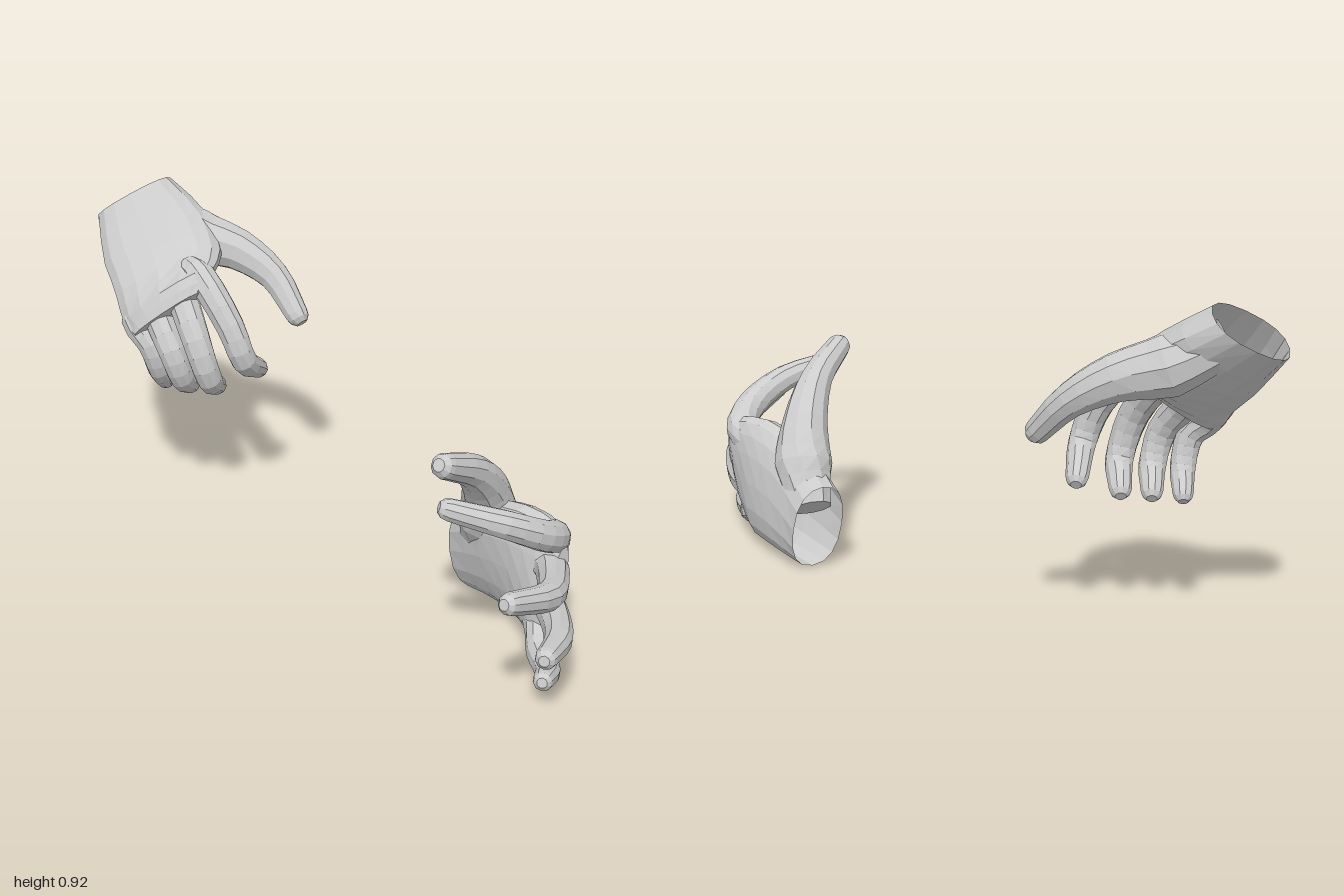
import * as THREE from 'three';

const V = (p) => new THREE.Vector3(...p);
const section = (c, a, b) => ({ c: V(c), a: V(a), b: V(b) });
const material = new THREE.MeshStandardMaterial({ color: 0xcccccc, flatShading: true, side: THREE.DoubleSide });

// Skin over a row of rings; each ring is { c: centre, a, b: half axes }.
// A power below 1 makes the rings squarer.
function loft(name, rings, sides, power, openStart) {
  const pos = [], index = [], n = rings.length;
  const along = rings[n - 1].c.clone().sub(rings[0].c);
  const mid = rings[n >> 1];
  const sign = Math.sign(mid.a.clone().cross(mid.b).dot(along));
  const bend = (v) => Math.sign(v) * Math.abs(v) ** power;
  for (const { c, a, b } of rings) {
    for (let j = 0; j < sides; j++) {
      const t = (sign * j * 2 * Math.PI) / sides;
      const p = c.clone().addScaledVector(a, bend(Math.cos(t))).addScaledVector(b, bend(Math.sin(t)));
      pos.push(p.x, p.y, p.z);
    }
  }
  for (let i = 0; i < n - 1; i++) {
    for (let j = 0; j < sides; j++) {
      const k = (j + 1) % sides, p = i * sides, q = p + sides;
      index.push(p + j, p + k, q + k, p + j, q + k, q + j);
    }
  }
  const last = (n - 1) * sides;
  for (let j = 1; j < sides - 1; j++) {
    index.push(last, last + j, last + j + 1);
    if (!openStart) index.push(0, j + 1, j);
  }
  const indexed = new THREE.BufferGeometry();
  indexed.setAttribute('position', new THREE.Float32BufferAttribute(pos, 3));
  indexed.setIndex(index);
  const geometry = indexed.toNonIndexed();
  geometry.computeVertexNormals();
  const mesh = new THREE.Mesh(geometry, material);
  mesh.name = name;
  return mesh;
}

// Palm: smooth blend through a few sections, open at the wrist
function palmMesh(sections) {
  const [c, a, b] = ['c', 'a', 'b'].map((k) => new THREE.CatmullRomCurve3(sections.map((s) => s[k])));
  const steps = (sections.length - 1) * 2, rings = [];
  for (let i = 0; i <= steps; i++) {
    const t = i / steps;
    rings.push({ c: c.getPoint(t), a: a.getPoint(t), b: b.getPoint(t) });
  }
  return loft('palm', rings, 16, 0.85, true);
}

// Finger: tapered tube through its joints, with a rounded tip
function finger(name, joints, radii, across) {
  const curve = new THREE.CatmullRomCurve3(joints);
  const steps = (joints.length - 1) * 3, rings = [];
  const ring = (c, t, r) => {
    const a = across.clone().addScaledVector(t, -across.dot(t)).normalize();
    const b = t.clone().cross(a);
    rings.push({ c, a: a.multiplyScalar(r), b: b.multiplyScalar(r) });
  };
  for (let i = 0; i <= steps; i++) {
    const u = i / steps, k = Math.min(Math.floor(i / 3), joints.length - 2);
    ring(curve.getPoint(u), curve.getTangent(u), THREE.MathUtils.lerp(radii[k], radii[k + 1], i / 3 - k));
  }
  const tip = curve.getPoint(1), t = curve.getTangent(1), r = radii[radii.length - 1];
  for (const [d, s] of [[0.5, 0.88], [0.92, 0.5]]) ring(tip.clone().addScaledVector(t, d * r), t, s * r);
  return loft(name, rings, 10, 0.95, false);
}

// Place of each knuckle across the palm, and finger thickness
const fingerTypes = [
  { name: 'indexFinger', place: 0.76, scale: 1 },
  { name: 'middleFinger', place: 0.27, scale: 1 },
  { name: 'ringFinger', place: -0.28, scale: 0.97 },
  { name: 'littleFinger', place: -0.76, scale: 0.9 },
];
const fingerRadii = [0.036, 0.046, 0.042, 0.038, 0.03];
const thumbRadii = [0.06, 0.083, 0.063, 0.046, 0.035];

function makeHand(name, palm, thumb, fingers) {
  const hand = new THREE.Group();
  hand.name = name;
  const [middle, knuckles] = palm.slice(-2);

  // Palm, thinning to a web between the fingers
  const fingerWeb = {
    c: knuckles.c.clone().addScaledVector(knuckles.c.clone().sub(middle.c).normalize(), 0.06),
    a: knuckles.a.clone().multiplyScalar(0.76),
    b: knuckles.b.clone().multiplyScalar(0.45),
  };
  hand.add(palmMesh([...palm, fingerWeb]));

  // Thumb, swelling into its ball inside the palm
  hand.add(finger('thumb', thumb.map(V), thumbRadii, knuckles.a));

  // Fingers, each starting a little inside the palm
  fingerTypes.forEach((type, i) => {
    const knuckle = knuckles.c.clone().addScaledVector(knuckles.a, type.place);
    const root = knuckle.clone().lerp(palm[1].c, 0.3);
    const radii = fingerRadii.map((r) => r * type.scale);
    hand.add(finger(type.name, [root, knuckle, ...fingers[i].map(V)], radii, knuckles.a));
  });
  return hand;
}

function rightHand() {
  const palm = [
    section([-0.91, 0.86, -0.205], [0.07, 0.055, -0.085], [0.04, 0.035, 0.06]),
    section([-0.785, 0.755, -0.17], [0.095, 0.075, -0.12], [0.01, 0.045, 0.065]),
    section([-0.7, 0.685, -0.125], [0.105, 0.075, -0.11], [0.01, 0.04, 0.06]),
    section([-0.645, 0.64, -0.06], [0.11, 0.095, -0.07], [0.01, 0.035, 0.05]),
  ];
  const thumb = [
    [-0.85, 0.83, -0.22], [-0.72, 0.765, -0.27], [-0.6, 0.73, -0.325], [-0.49, 0.665, -0.355], [-0.395, 0.57, -0.345],
  ];
  return makeHand('rightHand', palm, thumb, [
    [[-0.45, 0.59, -0.11], [-0.415, 0.485, -0.13], [-0.45, 0.42, -0.23]],
    [[-0.52, 0.55, -0.04], [-0.49, 0.43, -0.06], [-0.53, 0.375, -0.135]],
    [[-0.59, 0.51, -0.01], [-0.575, 0.42, -0.035], [-0.605, 0.37, -0.1]],
    [[-0.67, 0.51, -0.005], [-0.66, 0.425, -0.03], [-0.685, 0.37, -0.08]],
  ]);
}

function leftHand() {
  const palm = [
    section([0.395, 0.125, -0.17], [-0.02, 0.12, 0], [0.04, 0, -0.065]),
    section([0.53, 0.18, -0.105], [-0.01, 0.16, 0.02], [0.03, 0, -0.065]),
    section([0.65, 0.2, -0.055], [-0.01, 0.175, 0.005], [0.025, 0, -0.06]),
    section([0.74, 0.2, -0.01], [0.01, 0.165, -0.02], [0.02, 0, -0.045]),
  ];
  const thumb = [
    [0.43, 0.17, -0.15], [0.485, 0.28, -0.1], [0.515, 0.39, -0.04], [0.54, 0.485, 0.06], [0.55, 0.55, 0.195],
  ];
  return makeHand('leftHand', palm, thumb, [
    [[0.775, 0.375, 0.07], [0.73, 0.435, 0.18], [0.625, 0.48, 0.275]],
    [[0.82, 0.265, 0.08], [0.89, 0.295, 0.21], [0.885, 0.34, 0.37]],
    [[0.83, 0.155, 0.08], [0.92, 0.175, 0.2], [0.965, 0.195, 0.32]],
    [[0.79, 0.042, 0.08], [0.86, 0.042, 0.15], [0.9, 0.065, 0.23]],
  ]);
}

export function createModel() {
  const model = new THREE.Group();
  model.name = 'pairOfHands';
  model.add(rightHand(), leftHand());
  return model;
}
